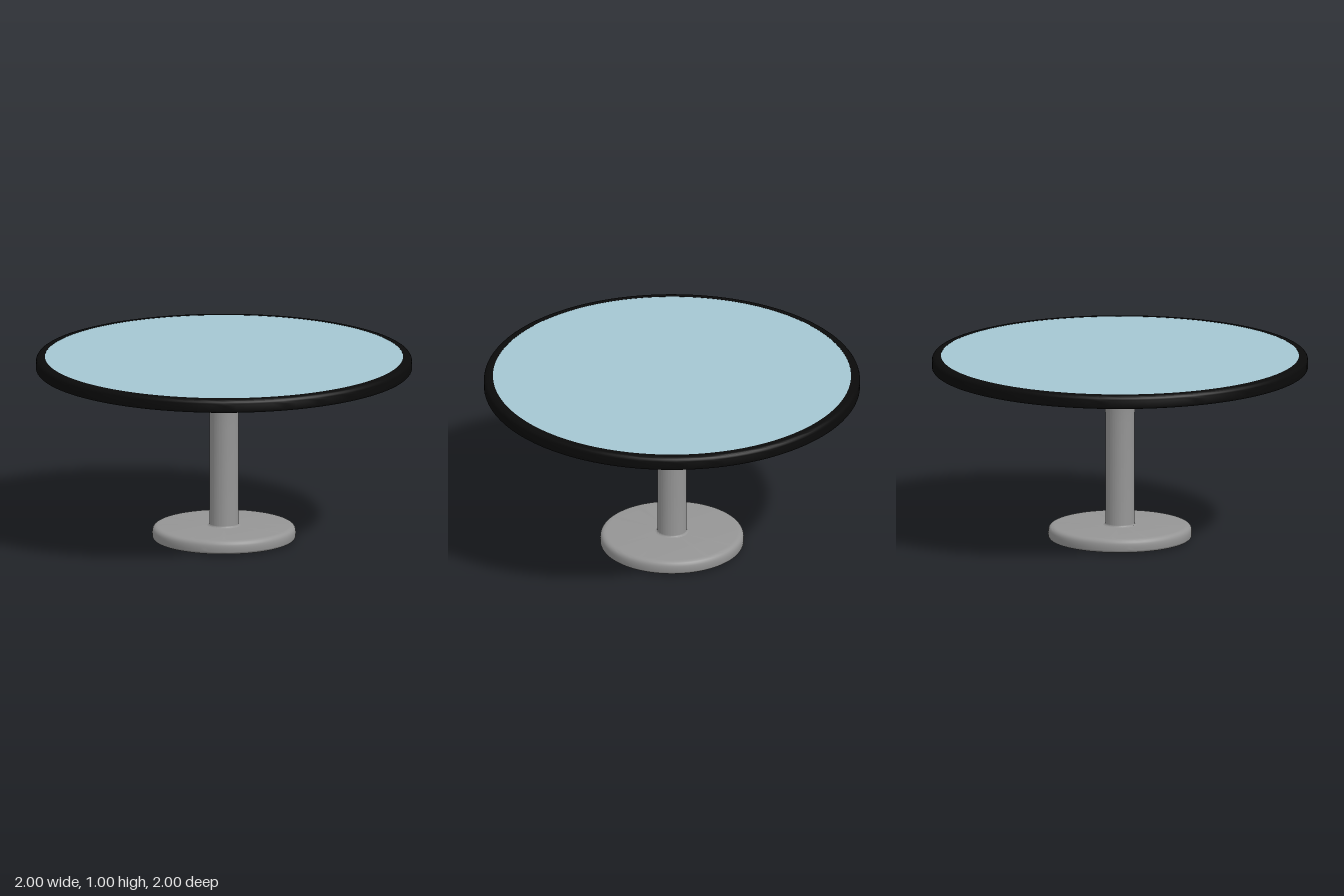
import * as THREE from 'three';
import { toCreasedNormals } from 'three/addons/utils/BufferGeometryUtils.js';

const SEGMENTS = 96;

// Turns a bottom-to-top [radius, height] profile into a smooth round part.
// A third value rounds that corner with the given radius.
function turned(name, color, profile) {
  const points = [];
  profile.forEach(([x, y, r], i) => {
    const p = new THREE.Vector2(x, y);
    if (!r) { points.push(p); return; }
    const toward = ([qx, qy]) => new THREE.Vector2(qx - x, qy - y).setLength(r).add(p);
    const a = toward(profile[i - 1]);
    const b = toward(profile[i + 1]);
    points.push(...new THREE.QuadraticBezierCurve(a, p, b).getPoints(6));
  });
  const geometry = toCreasedNormals(new THREE.LatheGeometry(points, SEGMENTS), 0.6);
  const mesh = new THREE.Mesh(geometry, new THREE.MeshStandardMaterial({ color }));
  mesh.name = name;
  return mesh;
}

export function createModel() {
  const table = new THREE.Group();
  table.name = 'roundTable';
  const metal = 0x959595;

  // Weighted foot with a rounded rim
  table.add(turned('base', metal, [
    [0, 0.003], [0.32, 0.003], [0.382, 0.008, 0.02], [0.382, 0.08, 0.035], [0, 0.08],
  ]));

  // Column with a small fillet at the foot and a gentle flare at the top
  table.add(turned('column', metal, [
    [0.095, 0.078], [0.077, 0.083, 0.007], [0.077, 0.64], [0.082, 0.82, 0.03], [0.115, 0.858],
  ]));

  // Mounting flange under the top
  table.add(turned('flange', metal, [
    [0, 0.855], [0.222, 0.855, 0.035], [0.222, 0.93], [0, 0.93],
  ]));

  // Thin pad on the floor side of the foot
  table.add(turned('floorPad', 0x555555, [[0, 0], [0.32, 0], [0.32, 0.003]]));

  // Dark underside and rounded edge band
  table.add(turned('edgeBand', 0x0a0a0a, [
    [0, 0.929], [1, 0.929, 0.012], [1, 1, 0.03], [0.952, 1], [0.952, 0.99],
  ]));

  // Tinted table surface
  table.add(turned('tableSurface', 0xa4c6d2, [[0.952, 0.999], [0, 0.999]]));

  return table;
}
